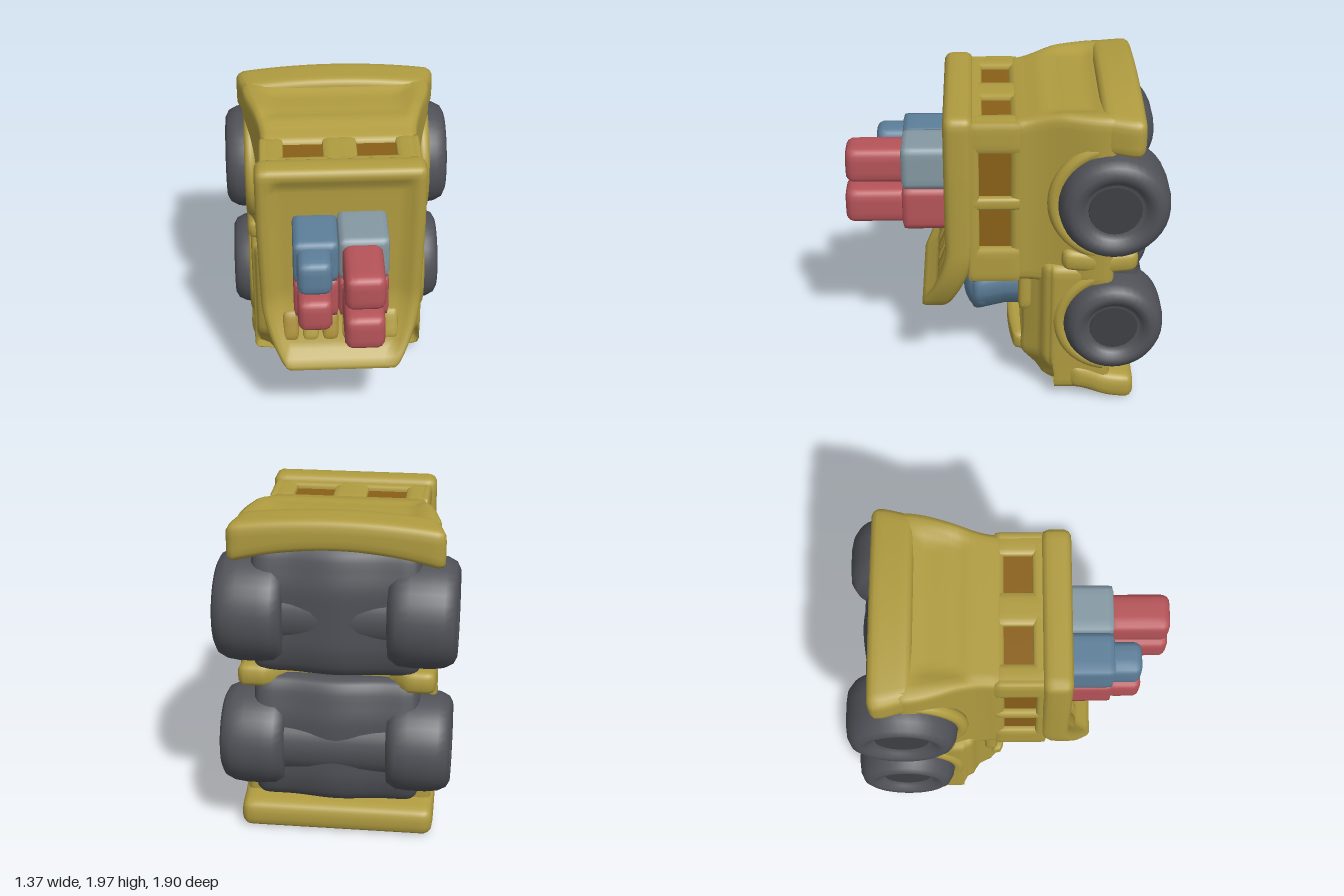
import * as THREE from 'three';
import { mergeVertices } from 'three/addons/utils/BufferGeometryUtils.js';

const YELLOW = 0xb09c40, BROWN = 0x8a6018, DARK = 0x505258, HUB = 0x3e4044;
const RED = 0xb65459, BLUE = 0x5d7f9a, PALE = 0x8599a3;

export function createModel() {
  const model = new THREE.Group();
  const { clamp, smoothstep, lerp } = THREE.MathUtils;

  function add(name, geometry, color, parent = model) {
    const mesh = new THREE.Mesh(geometry, new THREE.MeshStandardMaterial({ color, roughness: 0.9 }));
    mesh.name = name;
    parent.add(mesh);
    return mesh;
  }

  // Soft-edged block given by its bounds; an optional rule moves its vertices
  function block(name, color, [x0, x1], [y0, y1], [z0, z1], r = 0.03, rule = null) {
    const half = [(x1 - x0) / 2, (y1 - y0) / 2, (z1 - z0) / 2];
    const mid = [(x0 + x1) / 2, (y0 + y1) / 2, (z0 + z1) / 2];
    const seg = half.map(h => clamp(Math.ceil(2 * h / 0.04), 4, 36));
    let g = new THREE.BoxGeometry(2 * half[0], 2 * half[1], 2 * half[2], ...seg);
    g.deleteAttribute('uv');
    g.deleteAttribute('normal');
    g = mergeVertices(g);
    const pos = g.attributes.position, p = new THREE.Vector3(), q = new THREE.Vector3();
    for (let i = 0; i < pos.count; i++) {
      p.fromBufferAttribute(pos, i);
      q.set(...p.toArray().map((v, k) => clamp(v, r - half[k], half[k] - r)));
      p.sub(q).normalize().multiplyScalar(r).add(q);
      p.set(p.x + mid[0], p.y + mid[1], p.z + mid[2]);
      if (rule) rule(p);
      pos.setXYZ(i, p.x, p.y, p.z);
    }
    g.computeVertexNormals();
    return add(name, g, color);
  }

  // Rear body, flaring towards the wheels, with a shallow dip in its top
  block('cabinBody', YELLOW, [-0.5, 0.5], [0.82, 1.9], [-0.64, -0.03], 0.04, p => {
    p.x *= lerp(0.93, 1.15, smoothstep(-p.z, 0.1, 0.6));
    if (p.y > 1.4) p.y += lerp(-0.03, 0.04, smoothstep(-p.z, 0.04, 0.35));
    const dip = Math.min(0.48 - Math.abs(p.x), -p.z - 0.2, p.z + 0.58);
    if (p.y > 1.88) p.y -= 0.03 * smoothstep(dip, 0, 0.1);
  });

  // Window band: recessed panes framed by posts
  block('windowPanes', BROWN, [-0.435, 0.435], [0.85, 1.84], [-0.1, 0.22], 0.02);
  for (const s of [-1, 1]) {
    const xs = [0.445 * s - 0.03, 0.445 * s + 0.03];
    for (const ys of [[0.82, 1.05], [1.31, 1.39], [1.68, 1.87]])
      block('sidePost', YELLOW, xs, ys, [-0.09, 0.22], 0.02);
    block('sideRail', YELLOW, xs, [0.83, 1.86], [0.15, 0.22], 0.02);
    block('rearPost', YELLOW, s < 0 ? [-0.46, -0.33] : [0.33, 0.46], [1.8, 1.87], [-0.09, 0.22], 0.02);
  }
  block('rearPost', YELLOW, [-0.1, 0.1], [1.8, 1.87], [-0.09, 0.22], 0.02);
  block('rearRail', YELLOW, [-0.45, 0.45], [1.8, 1.87], [0.13, 0.22], 0.02);

  // Roof panel: dished inside a rim, tapered and curling out at the visor end
  const curl = y => 0.16 * Math.pow(Math.max(0, 1.02 - y) / 0.45, 1.5);
  block('roof', YELLOW, [-0.5, 0.49], [0.55, 1.9], [0.18, 0.355], 0.05, p => {
    const edge = Math.min(0.5 - Math.abs(p.x), p.y - 0.55, 1.9 - p.y);
    if (p.z > 0.3) p.z -= 0.04 * smoothstep(edge, 0.06, 0.13);
    p.x *= 1 - 0.27 * Math.pow(Math.max(0, 1.0 - p.y) / 0.45, 2) - 0.05 * Math.max(0, 1.5 - p.y);
    p.z += curl(p.y);
  });

  // Row of ridges on the visor
  for (let i = 0; i < 6; i++) {
    const x = -0.31 + i * 0.12;
    block('visorRidge', i % 2 ? YELLOW : 0xa58a34, [x - 0.05, x + 0.05], [0.72, 0.9], [0.26, 0.335], 0.03,
      p => { p.z += curl(p.y); });
  }

  // Stacked studs on the roof: wide base cubes and narrower tips
  const studs = [
    { x: [-0.29, -0.03], y: [1.31, 1.58], base: BLUE, tip: BLUE, end: 0.77 },
    { x: [-0.03, 0.26], y: [1.33, 1.6], base: PALE, tip: RED, end: 0.94 },
    { x: [-0.29, -0.03], y: [1.06, 1.32], base: RED, tip: RED, end: 0.78 },
    { x: [-0.03, 0.26], y: [1.06, 1.33], base: RED, tip: RED, end: 0.95 },
  ];
  for (const { x, y, base, tip, end } of studs) {
    block('studBase', base, x, y, [0.28, 0.61], 0.025);
    block('studTip', tip, [x[0] + 0.02, x[1] - 0.04], [y[0] + 0.02, y[1] - 0.03], [0.55, end], 0.05);
  }

  // Bonnet block: fenders set back on both sides, face dished and cut away below
  block('bonnet', YELLOW, [-0.55, 0.55], [0.08, 0.96], [-0.64, -0.09], 0.04, p => {
    const t = smoothstep(p.z, -0.32, -0.1);
    const edge = Math.min(0.46 - Math.abs(p.x), p.y - 0.3, 0.95 - p.y);
    if (p.z > -0.15) p.z -= 0.04 * smoothstep(edge, 0.04, 0.1);
    p.z -= (0.13 * smoothstep(0.3 - p.y, 0, 0.2) + 0.13 * smoothstep(Math.abs(p.x), 0.4, 0.5)) * t;
    p.x *= 1 - 0.05 * t;
  });
  block('bonnetPanel', 0x967428, [-0.36, 0.36], [0.37, 0.62], [-0.18, -0.122], 0.02);
  block('grilleLip', YELLOW, [-0.38, 0.38], [0.24, 0.35], [-0.22, -0.02], 0.03, p => {
    p.z -= 0.25 * p.x * p.x;
    if (p.z > -0.1) p.y += 0.02;
  });

  // Engine with a rounded scoop under the visor
  block('engine', BLUE, [-0.19, 0.19], [0.42, 0.68], [-0.16, 0.2], 0.05, p => {
    p.x *= lerp(0.6, 1, smoothstep(p.y, 0.4, 0.58));
    p.y -= 0.25 * Math.max(0, p.z);
  });
  const scoop = add('engineScoop', new THREE.SphereGeometry(0.19, 20, 14), BLUE);
  scoop.scale.set(1, 0.98, 0.55);
  scoop.position.set(-0.01, 0.54, 0.15);
  block('engineMount', BROWN, [-0.16, 0.16], [0.6, 0.9], [0.08, 0.22], 0.04);
  for (const s of [-1, 1])
    block('windscreenPost', YELLOW, s < 0 ? [-0.45, -0.37] : [0.37, 0.45], [0.6, 0.9], [-0.16, -0.08], 0.03);

  // Bumpers at both ends; the front one curves back and up at its corners
  block('rearBumper', YELLOW, [-0.57, 0.57], [1.79, 1.975], [-0.79, -0.54], 0.05, p => {
    p.x *= 1 + 0.07 * smoothstep(-p.z, 0.54, 0.75);
    p.y -= (p.y > 1.88 ? 0.12 : 0.24) * p.x * p.x;
  });
  block('frontBumper', YELLOW, [-0.57, 0.57], [0.03, 0.2], [-0.79, -0.19], 0.06, p => {
    const t = smoothstep(p.z, -0.7, -0.2);
    p.y += 0.1 * (p.z + 0.5) + 0.1 * p.x * p.x * t;
    p.z -= 0.65 * p.x * p.x * t;
  });

  // Running boards between the wheels, recessed across the middle
  block('runningBoard', YELLOW, [-0.57, 0.57], [0.93, 1.07], [-0.78, -0.33], 0.05, p => {
    p.y += 0.1 * Math.abs(p.z + 0.6) - 0.01;
    if (p.z < -0.6) p.z += 0.1 * smoothstep(0.42 - Math.abs(p.x), 0, 0.15);
  });

  // Axles, underbody, wheels and arches
  const axles = [{ y: 1.4, z: -0.625, r: 0.325, x: 0.685 }, { y: 0.585, z: -0.645, r: 0.3, x: 0.665 }];
  for (const { y, z, r, x } of axles) {
    const axle = add('axle', new THREE.CylinderGeometry(0.22, 0.22, 0.9, 24), DARK);
    axle.rotation.z = Math.PI / 2;
    axle.position.set(0, y, z);
    // Underside bulges along the middle and sinks towards the ends
    block('underbody', DARK, [-0.48, 0.48], [y - 0.37, y + 0.42], [-0.82, -0.5], 0.08, p => {
      if (p.z < -0.7) p.z += 0.05 * smoothstep(Math.abs(p.y - y), 0.15, 0.4) - 0.03 * smoothstep(0.3 - Math.abs(p.x), 0, 0.3);
    });

    const w = x - 0.29;
    const profile = [[0, 0.03], [r * 0.5, 0.03], [r * 0.62, 0], [r * 0.88, 0.01], [r * 0.98, 0.06], [r, 0.13],
      [r, w - 0.14], [r * 0.97, w - 0.07], [r * 0.89, w - 0.02], [r * 0.77, w], [r * 0.66, w - 0.005],
      [r * 0.57, w - 0.03], [r * 0.5, w - 0.05], [r * 0.2, w - 0.06], [0, w - 0.06]].map(a => new THREE.Vector2(...a));
    for (const s of [-1, 1]) {
      const wheel = new THREE.Group();
      wheel.name = 'wheel';
      wheel.position.set(0.29 * s, y, z);
      wheel.rotation.z = -s * Math.PI / 2;
      add('tyre', new THREE.LatheGeometry(profile, 36), DARK, wheel);
      const hub = add('hub', new THREE.CylinderGeometry(r * 0.47, r * 0.5, 0.03, 24), HUB, wheel);
      hub.position.y = w - 0.06;
      model.add(wheel);

      // Arch hugging the front half of the wheel
      const arch = add('wheelArch', new THREE.TorusGeometry(r + 0.02, 0.04, 10, 28, Math.PI * 0.9), YELLOW);
      arch.rotation.set(0, Math.PI / 2, 0);
      arch.rotateZ(Math.PI * 0.55);
      arch.position.set(0.53 * s, y, z);
    }
  }
  return model;
}
